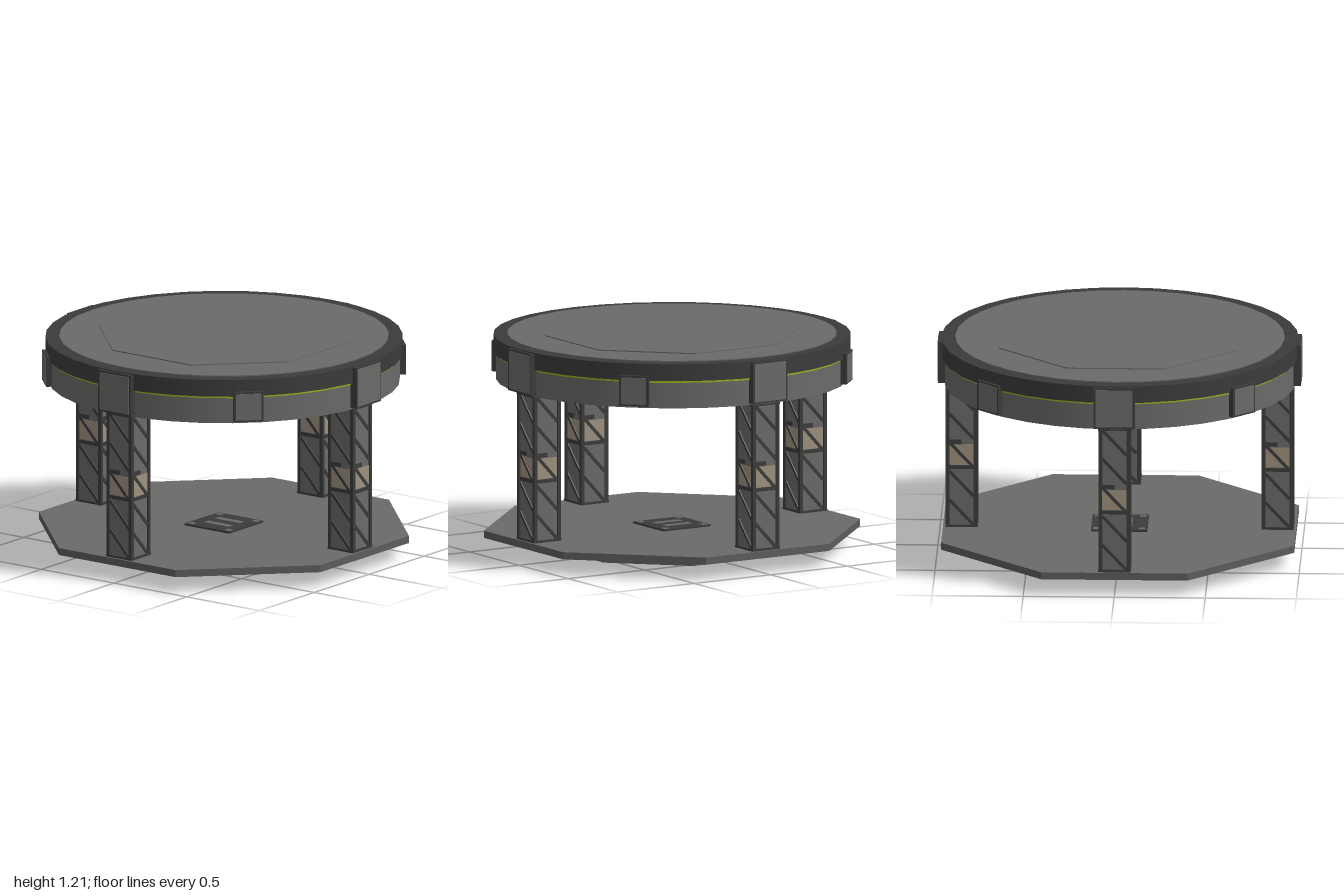
import * as THREE from 'three';

const mat = (name, color) => Object.assign(new THREE.MeshStandardMaterial({ color }), { name });

export function createModel() {
  const grey = mat('panel grey', 0x6a6a68);
  const rimGrey = mat('rim grey', 0x5c5e5b);
  const dark = mat('dark metal', 0x3b3b3b);
  const tan = mat('tan band', 0x9e917d);
  const green = mat('green light', 0x9ab41e);

  const model = new THREE.Group();
  model.name = 'roundPlatform';

  const add = (parent, name, geometry, material, x = 0, y = 0, z = 0) => {
    const mesh = new THREE.Mesh(geometry, material);
    mesh.name = name;
    mesh.position.set(x, y, z);
    parent.add(mesh);
    return mesh;
  };
  const box = (parent, name, w, h, d, material, x, y, z) =>
    add(parent, name, new THREE.BoxGeometry(w, h, d), material, x, y, z);

  // Octagonal slab with flat sides towards the axes
  const octagon = (name, apothem, y0, y1, materials) => {
    const r = apothem / Math.cos(Math.PI / 8);
    const g = new THREE.CylinderGeometry(r, r, y1 - y0, 8).toNonIndexed();
    g.computeVertexNormals();
    g.rotateY(Math.PI / 8);
    return add(model, name, g, materials, 0, (y0 + y1) / 2, 0);
  };
  // Round slab; materials are side, top, bottom
  const disc = (name, r, y0, y1, materials) =>
    add(model, name, new THREE.CylinderGeometry(r, r, y1 - y0, 36), materials, 0, (y0 + y1) / 2, 0);

  // Stepped base
  const slabMats = [rimGrey, grey, grey];
  octagon('baseSlab', 0.97, 0.09, 0.13, slabMats);
  octagon('baseMiddleStep', 0.77, 0.055, 0.09, slabMats);
  octagon('baseLowerStep', 0.61, 0.015, 0.055, slabMats);
  box(model, 'footPlate', 0.51, 0.015, 0.51, [dark, dark, grey, grey, dark, dark], 0, 0.0075, 0);

  // Hatch in the middle of the base
  const hatch = new THREE.Group();
  hatch.name = 'floorHatch';
  model.add(hatch);
  box(hatch, 'hatchPlate', 0.31, 0.01, 0.31, dark, 0, 0.135, 0);
  for (const s of [-1, 1]) {
    box(hatch, 'hatchStrip', 0.17, 0.004, 0.04, grey, 0, 0.14, s * 0.05);
    for (const t of [-1, 1]) box(hatch, 'hatchCorner', 0.035, 0.004, 0.035, grey, s * 0.125, 0.14, t * 0.125);
  }

  // Drum deck
  disc('deckUnderside', 0.755, 0.946, 0.952, grey);
  disc('deckLowerBand', 0.967, 0.95, 1.092, grey);
  disc('deckLightLine', 0.969, 1.092, 1.104, green);
  disc('deckUpperBand', 0.982, 1.104, 1.198, dark);
  disc('deckTop', 0.905, 1.198, 1.204, grey);
  octagon('deckTopPlate', 0.655, 1.204, 1.21, grey);

  // Lattice leg, built about its own axis
  const makeLeg = () => {
    const leg = new THREE.Group();
    leg.name = 'leg';
    const bottom = 0.13, top = 0.95, bay = (top - bottom) / 5;
    box(leg, 'legCore', 0.156, top - bottom, 0.156, grey, 0, (top + bottom) / 2, 0);
    box(leg, 'legTanBand', 0.159, 0.115, 0.159, tan, 0, 0.54, 0);
    box(leg, 'legFoot', 0.178, 0.012, 0.178, dark, 0, bottom + 0.006, 0);
    box(leg, 'legCap', 0.178, 0.012, 0.178, dark, 0, top - 0.006, 0);
    for (const sx of [-1, 1]) for (const sz of [-1, 1])
      box(leg, 'legPost', 0.02, top - bottom, 0.02, dark, sx * 0.077, (top + bottom) / 2, sz * 0.077);
    for (let f = 0; f < 4; f++) {
      const face = new THREE.Group();
      face.name = 'legFace';
      face.rotation.y = f * Math.PI / 2;
      leg.add(face);
      box(face, 'legRung', 0.14, 0.02, 0.008, dark, 0, 0.47, 0.079);
      box(face, 'legHalfRung', 0.07, 0.024, 0.008, dark, -0.035, 0.615, 0.079);
      for (let i = 0; i < 5; i++) {
        const brace = box(face, 'legBrace', 0.195, 0.017, 0.008, dark, 0, bottom + bay * (i + 0.5), 0.08);
        brace.rotation.z = -Math.atan2(0.145, 0.135);
      }
    }
    return leg;
  };

  // Clamp on the drum rim, facing +z before turning
  const makeClamp = (name, width, y0, y1, angle) => {
    const clamp = new THREE.Group();
    clamp.name = name;
    const y = (y0 + y1) / 2, h = y1 - y0;
    box(clamp, 'clampFrame', width, h, 0.045, dark, 0, y, 0.9745);
    box(clamp, 'clampFace', width - 0.024, h - 0.02, 0.005, grey, 0, y, 0.9975);
    clamp.rotation.y = angle;
    model.add(clamp);
  };

  for (let i = 0; i < 4; i++) {
    const a = i * Math.PI / 2;
    const leg = makeLeg();
    leg.position.set(Math.sin(a) * 0.868, 0, Math.cos(a) * 0.868);
    leg.rotation.y = a;
    model.add(leg);
    makeClamp('largeClamp', 0.226, 0.96, 1.192, a);
    makeClamp('smallClamp', 0.165, 0.963, 1.132, a + Math.PI / 4);
  }
  return model;
}
